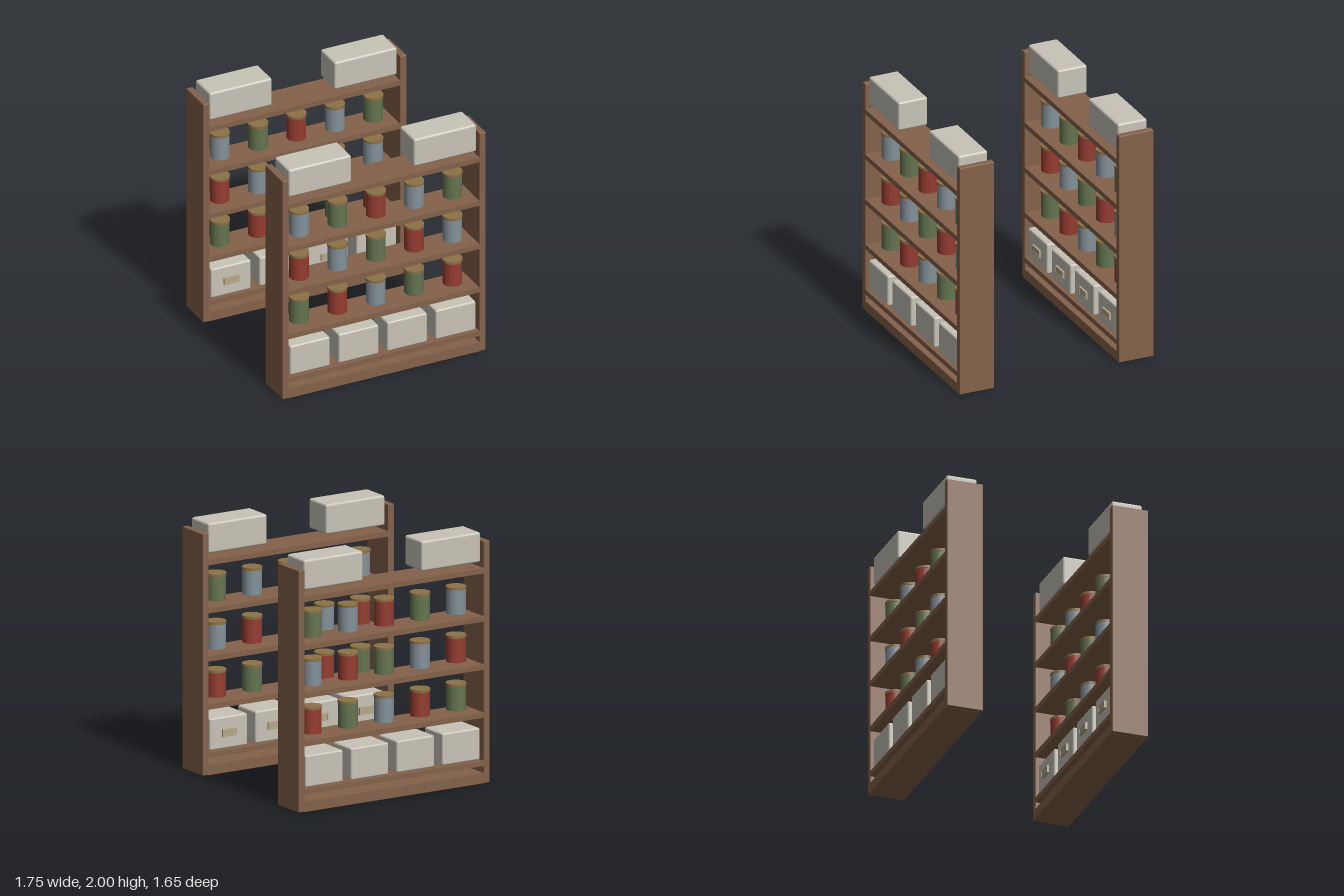
import * as THREE from 'three';
import { RoundedBoxGeometry } from 'three/addons/geometries/RoundedBoxGeometry.js';

const paint = (color) => new THREE.MeshStandardMaterial({ color });
const wood = paint(0x85624a);
const cream = paint(0xc8c4b8);
const lidTan = paint(0x8c7248);
const labelTan = paint(0xb5a888);
const red = paint(0x963c30);
const green = paint(0x64754f);
const grey = paint(0x84929a);

function add(parent, name, geometry, material, x, y, z) {
  const mesh = new THREE.Mesh(geometry, material);
  mesh.name = name;
  mesh.position.set(x, y, z);
  parent.add(mesh);
  return mesh;
}

// Body and overhanging lid, origin at the foot
function createJar(material) {
  const jar = new THREE.Group();
  jar.name = 'jar';
  add(jar, 'jarBody', new THREE.CylinderGeometry(0.077, 0.077, 0.2, 20), material, 0, 0.1, 0);
  add(jar, 'jarLid', new THREE.CylinderGeometry(0.08, 0.08, 0.02, 20), lidTan, 0, 0.205, 0);
  return jar;
}

// Storage bin with a framed label on the side given by facing
function createBin(facing) {
  const bin = new THREE.Group();
  bin.name = 'bin';
  add(bin, 'binBody', new RoundedBoxGeometry(0.345, 0.255, 0.26, 2, 0.015), cream, 0, 0, 0);
  const z = facing * 0.137;
  for (const s of [-1, 1]) {
    add(bin, 'labelFrameRail', new THREE.BoxGeometry(0.13, 0.009, 0.02), labelTan, 0, s * 0.0255, z);
    add(bin, 'labelFrameEnd', new THREE.BoxGeometry(0.009, 0.06, 0.02), labelTan, s * 0.0605, 0, z);
  }
  add(bin, 'labelCard', new THREE.BoxGeometry(0.115, 0.045, 0.014), labelTan, 0, 0, z);
  return bin;
}

// One open rack; facing is the z direction the bin labels look at
function createRack(facing) {
  const rack = new THREE.Group();
  rack.name = 'rack';
  const depth = 0.295;

  // Uprights and base board
  for (const s of [-1, 1]) {
    add(rack, 'sidePanel', new RoundedBoxGeometry(0.055, 1.925, depth, 1, 0.005), wood, s * 0.85, 0.967, 0);
  }
  add(rack, 'baseBoard', new THREE.BoxGeometry(1.66, 0.081, depth), wood, 0, 0.0445, 0);

  // Shelves
  for (const y of [0.162, 0.546, 0.929, 1.312, 1.696]) {
    add(rack, 'shelf', new THREE.BoxGeometry(1.66, 0.042, depth), wood, 0, y, 0);
  }

  // Bins on the lowest shelf
  for (let i = 0; i < 4; i++) {
    const bin = createBin(facing);
    bin.position.set((i - 1.5) * 0.419, 0.317, 0);
    rack.add(bin);
  }

  // Three rows of jars, colours shifting from row to row
  const colors = [green, red, grey];
  for (let row = 0; row < 3; row++) {
    for (let i = 0; i < 5; i++) {
      const jar = createJar(colors[(i + row) % 3]);
      // Second and third rows step on by one colour each
      jar.position.set((i - 2) * 0.331, 0.585 + row * 0.384, 0);
      rack.add(jar);
    }
  }

  // Boxes above the top shelf
  for (const s of [-1, 1]) {
    add(rack, 'topBox', new RoundedBoxGeometry(0.54, 0.24, 0.25, 3, 0.018), cream, s * 0.54, 1.88, 0);
  }
  return rack;
}

export function createModel() {
  const model = new THREE.Group();
  model.name = 'facingShelfRacks';
  for (const s of [-1, 1]) {
    const rack = createRack(-s);
    rack.position.z = s * 0.68;
    model.add(rack);
  }
  return model;
}
